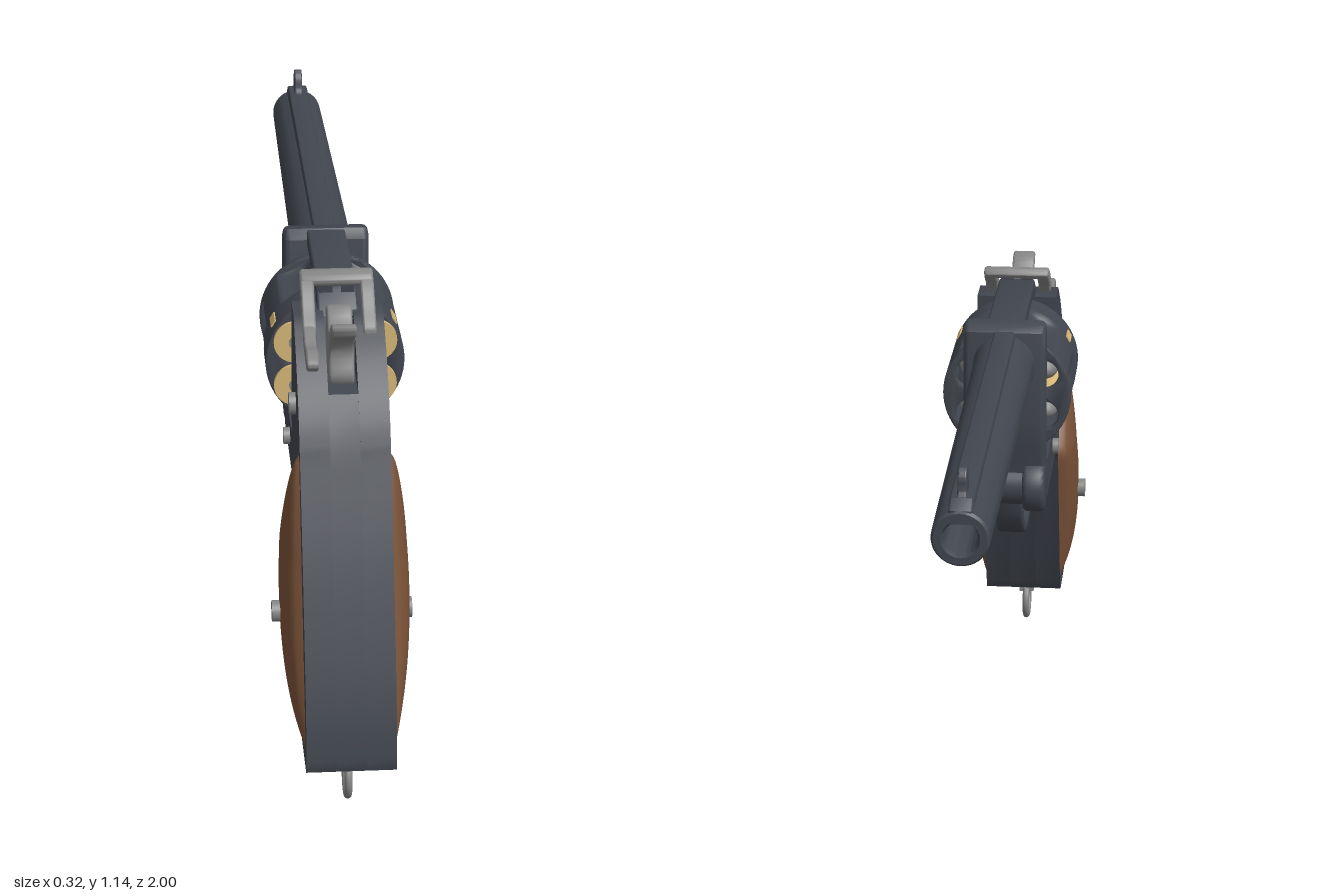
import * as THREE from 'three';
import { toCreasedNormals } from 'three/addons/utils/BufferGeometryUtils.js';

const mat = (color) => new THREE.MeshStandardMaterial({ color, side: THREE.DoubleSide });
const V = (x, y) => new THREE.Vector2(x, y);

export function createModel() {
  const root = new THREE.Group();
  const steel = mat(0x42464f), bright = mat(0x858585), wood = mat(0x7a5238), brass = mat(0xd8b878);

  function add(name, geo, material, x = 0, y = 0, z = 0) {
    const m = new THREE.Mesh(geo, material);
    m.name = name;
    m.position.set(x, y, z);
    root.add(m);
    return m;
  }
  // side outline in (z, y), extruded across x
  function plate(name, shape, x0, x1, material, bevel = 0) {
    const w = x1 - x0 - 2 * bevel;
    let g = new THREE.ExtrudeGeometry(shape, {
      depth: w, bevelEnabled: bevel > 0, bevelSize: bevel, bevelThickness: bevel,
      bevelOffset: -bevel, bevelSegments: 3, curveSegments: 20,
    });
    g.translate(0, 0, -w / 2);
    g.rotateY(-Math.PI / 2);
    g = toCreasedNormals(g, 0.6);
    return add(name, g, material, (x0 + x1) / 2);
  }
  const poly = (pts) => new THREE.Shape(pts.map((p) => V(...p)));
  const smooth = (pts, n = 48) => new THREE.Shape(new THREE.CatmullRomCurve3(
    pts.map((p) => new THREE.Vector3(p[0], p[1], 0)), true).getPoints(n).slice(0, n).map((p) => V(p.x, p.y)));
  const curve = (pts, n = 24) => new THREE.SplineCurve(pts.map((p) => V(...p))).getPoints(n).map((p) => [p.x, p.y]);
  // cylinder or disc lying across x
  const pin = (name, r, x0, x1, y, z, material) => add(name,
    new THREE.CylinderGeometry(r, r, x1 - x0, 32).rotateZ(Math.PI / 2), material, (x0 + x1) / 2, y, z);
  const box = (name, w, h, d, x, y, z, material) => add(name, new THREE.BoxGeometry(w, h, d), material, x, y, z);

  // frame: two cheeks and a core with the hammer slot
  const lower = [
    ...curve([[0.78, 0.82], [0.87, 0.61], [0.945, 0.4], [0.985, 0.26], [1, 0.165]], 16),
    [0.996, 0.148], [0.98, 0.138], [0.76, 0.135], [0.735, 0.142], [0.722, 0.165],
    [0.605, 0.56], [0.59, 0.6], [0.565, 0.625], [0.53, 0.632],
    [0.2, 0.632], [0.2, 0.73], [0.455, 0.73], [0.475, 0.75],
  ];
  const cheek = poly([[0.475, 1.06], [0.56, 1.06],
    ...curve([[0.59, 1.04], [0.65, 0.995], [0.71, 0.935], [0.75, 0.88], [0.776, 0.83]], 16), ...lower]);
  const core = poly([[0.475, 1.06], [0.52, 1.06], [0.56, 0.95], [0.71, 0.932], [0.75, 0.88], ...lower]);
  plate('frameCheekLeft', cheek, 0.033, 0.1, steel);
  plate('frameCheekRight', cheek, -0.1, -0.033, steel);
  plate('frameCore', core, -0.034, 0.034, steel);

  // barrel block, top strap and rear sight
  plate('barrelBlock', poly([[0.165, 0.7], [0.165, 1.085], [0.15, 1.108], [0.12, 1.105], [0.1, 1.09],
    [0.09, 1.02], [0.085, 0.87], [0.09, 0.8], [0.105, 0.75], [0.11, 0.7]]), -0.1, 0.1, steel, 0.014);
  plate('topStrap', poly([[0.13, 1.07], [0.13, 1.105], [0.48, 1.105], [0.5, 1.095], [0.545, 1.05], [0.47, 1.05], [0.46, 1.07]]),
    -0.045, 0.045, steel, 0.006);
  for (const s of [-1, 1]) box('rearSight', 0.03, 0.03, 0.03, s * 0.025, 1.1, 0.49, steel);

  // hinge
  pin('hingeCore', 0.052, -0.06, 0.06, 0.685, 0.14, steel);
  const knuckle = new THREE.Shape().absarc(0.135, 0.685, 0.067, 0, Math.PI * 2);
  plate('hingeKnuckleLeft', knuckle, 0.045, 0.1, steel, 0.012);
  plate('hingeKnuckleRight', knuckle, -0.1, -0.045, steel, 0.012);
  box('hingeTongue', 0.09, 0.09, 0.09, 0, 0.685, 0.18, steel);

  // barrel with bore, top rib and front sight
  const barrel = new THREE.LatheGeometry([[0.001, -0.75], [0.034, -0.75], [0.036, -0.985], [0.042, -1], [0.058, -1],
    [0.063, -0.993], [0.064, -0.9], [0.073, 0.06], [0.077, 0.1], [0.077, 0.12]].map((p) => V(...p)), 48);
  add('barrel', toCreasedNormals(barrel.rotateX(Math.PI / 2).toNonIndexed(), 0.5), steel, 0, 1.008);
  plate('barrelRib', poly([[0.12, 1.04], [0.12, 1.092], [-0.97, 1.09], [-0.995, 1.07], [-0.995, 1.04]]), -0.026, 0.026, steel, 0.006);
  plate('frontSight', smooth([[-0.87, 1.08], [-0.9, 1.095], [-0.912, 1.13], [-0.932, 1.147], [-0.953, 1.13],
    [-0.958, 1.1], [-0.975, 1.08]]), -0.01, 0.01, steel, 0.004);

  // cylinder: wall with flutes between the six chambers
  const cy = 0.905, R = 0.158;
  const wall = new THREE.CylinderGeometry(R, R, 0.265, 144, 32, true).rotateX(Math.PI / 2);
  const p = wall.attributes.position;
  for (let i = 0; i < p.count; i++) {
    const x = p.getX(i), y = p.getY(i), z = p.getZ(i) + 0.32;
    const a = Math.atan2(y, x), off = (a - Math.round(a / (Math.PI / 3)) * (Math.PI / 3)) / 0.3;
    const along = Math.min(1, Math.max(0, (z - 0.188) / 0.02), Math.max(0, (0.375 - z) / 0.05));
    const k = 1 - 0.17 * Math.max(0, 1 - off * off) * Math.sqrt(along);
    p.setXY(i, x * k, y * k);
  }
  wall.computeVertexNormals();
  add('cylinderWall', wall, steel, 0, cy, 0.32);
  const face = new THREE.Shape().absarc(0, 0, R, 0, Math.PI * 2);
  const chambers = [...Array(6).keys()].map((i) => Math.PI / 6 + i * Math.PI / 3);
  for (const a of chambers)
    face.holes.push(new THREE.Path().absarc(0.105 * Math.cos(a), 0.105 * Math.sin(a), 0.036, 0, Math.PI * 2));
  const disc = toCreasedNormals(new THREE.ExtrudeGeometry(face, { depth: 0.012, bevelEnabled: true, bevelSize: 0.004,
    bevelThickness: 0.004, bevelOffset: -0.004, bevelSegments: 2, curveSegments: 36 }), 0.6);
  add('cylinderFront', disc, steel, 0, cy, 0.179);
  add('cylinderRear', disc, steel, 0, cy, 0.447);
  add('cylinderAxle', new THREE.CylinderGeometry(0.035, 0.035, 0.34, 24).rotateX(Math.PI / 2), steel, 0, cy, 0.32);

  // cartridges: rim, bullet and side pin in every chamber
  for (const a of chambers) {
    const x = 0.105 * Math.cos(a), y = cy + 0.105 * Math.sin(a);
    add('cartridgeRim', new THREE.CylinderGeometry(0.049, 0.049, 0.01, 32).rotateX(Math.PI / 2), brass, x, y, 0.469);
    add('cartridgeCase', new THREE.CylinderGeometry(0.034, 0.034, 0.2, 24).rotateX(Math.PI / 2), brass, x, y, 0.365);
    add('primer', new THREE.CylinderGeometry(0.015, 0.015, 0.004, 20).rotateX(Math.PI / 2), bright, x, y, 0.475);
    add('bullet', new THREE.SphereGeometry(0.033, 20, 12).scale(1, 1, 2), bright, x, y, 0.265);
    box('cartridgePin', 0.05, 0.018, 0.052, 0.136 * Math.cos(a), cy + 0.136 * Math.sin(a), 0.4, brass).rotation.z = a;
  }

  // latch: two arms, a crossbar and a thumb lever
  const arm = smooth([[0.462, 1.125], [0.475, 1.135], [0.52, 1.115], [0.565, 1.075], [0.605, 1.035],
    [0.59, 1.01], [0.55, 1.035], [0.51, 1.08], [0.475, 1.105]]);
  plate('latchArmLeft', arm, 0.052, 0.082, bright, 0.005);
  plate('latchArmRight', arm, -0.082, -0.052, bright, 0.005);
  plate('latchCrossbar', smooth([[0.46, 1.122], [0.475, 1.136], [0.51, 1.122], [0.505, 1.106], [0.475, 1.108]]), -0.08, 0.08, bright, 0.004);
  plate('latchLever', smooth([[0.56, 1.05], [0.61, 1.045], [0.66, 1.03], [0.71, 1.035], [0.745, 1.018],
    [0.735, 1.0], [0.69, 1.0], [0.63, 1.01], [0.58, 1.015]]), -0.082, -0.055, bright, 0.005);

  // hammer and trigger
  plate('hammer', smooth([[0.735, 1.1], [0.7, 1.095], [0.66, 1.062], [0.62, 1.055], [0.575, 1.085], [0.545, 1.075],
    [0.565, 1.02], [0.58, 0.94], [0.64, 0.92], [0.675, 0.95], [0.66, 1.01], [0.685, 1.05], [0.73, 1.078]]), -0.028, 0.028, bright, 0.006);
  plate('trigger', smooth([[0.34, 0.65], [0.37, 0.58], [0.41, 0.53], [0.452, 0.505], [0.445, 0.53],
    [0.42, 0.57], [0.4, 0.61], [0.4, 0.65]]), -0.02, 0.02, bright, 0.005);

  // trigger guard
  const outer = curve([[0.6, 0.6], [0.585, 0.54], [0.53, 0.475], [0.44, 0.45], [0.34, 0.47], [0.26, 0.53], [0.222, 0.635]], 32);
  const inner = curve([[0.255, 0.635], [0.285, 0.555], [0.35, 0.5], [0.44, 0.483], [0.51, 0.503], [0.555, 0.555], [0.565, 0.625]], 32);
  plate('triggerGuard', poly([...outer, ...inner]), -0.035, 0.035, steel, 0.008);

  for (const s of [-1, 1]) {
    // bulging grip panel between a straight rear edge and a bent front edge
    const g = new THREE.PlaneGeometry(1, 1, 24, 40), q = g.attributes.position;
    for (let i = 0; i < q.count; i++) {
      const u = q.getX(i) + 0.5, v = q.getY(i) + 0.5, y = 0.187 + 0.623 * v;
      const rear = 0.962 - 0.208 * v - 0.012 * Math.sin(Math.PI * v) * (v - 0.5);
      const front = y < 0.585 ? 0.72 - 0.12 * (y - 0.187) / 0.398 : 0.6 + 0.154 * (y - 0.585) / 0.225;
      const rise = Math.pow(Math.sin(Math.PI * Math.pow(v, 0.88)), 0.6) || 0;
      const across = Math.pow(Math.max(0, 1 - (2 * u - 1) ** 2), 0.6);
      q.setXYZ(i, s * (0.1 + 0.046 * rise * across), y, rear + (front - rear) * u);
    }
    g.computeVertexNormals();
    add(s > 0 ? 'gripPanelLeft' : 'gripPanelRight', g, wood);

    // screws
    for (const [r, y, z, x] of [[0.024, 0.43, 0.763, 0.151], [0.025, 0.875, 0.622, 0.103], [0.02, 0.69, 0.392, 0.103]])
      pin('screw', r, s * x - 0.012, s * x + (s > 0 ? 0 : 0.012), y, z, bright);
  }

  // lanyard post and ring
  box('lanyardPost', 0.038, 0.06, 0.038, 0, 0.115, 0.858, bright);
  add('lanyardRing', new THREE.TorusGeometry(0.048, 0.009, 12, 40).rotateY(Math.PI / 2), bright, 0, 0.059, 0.858);

  return root;
}
